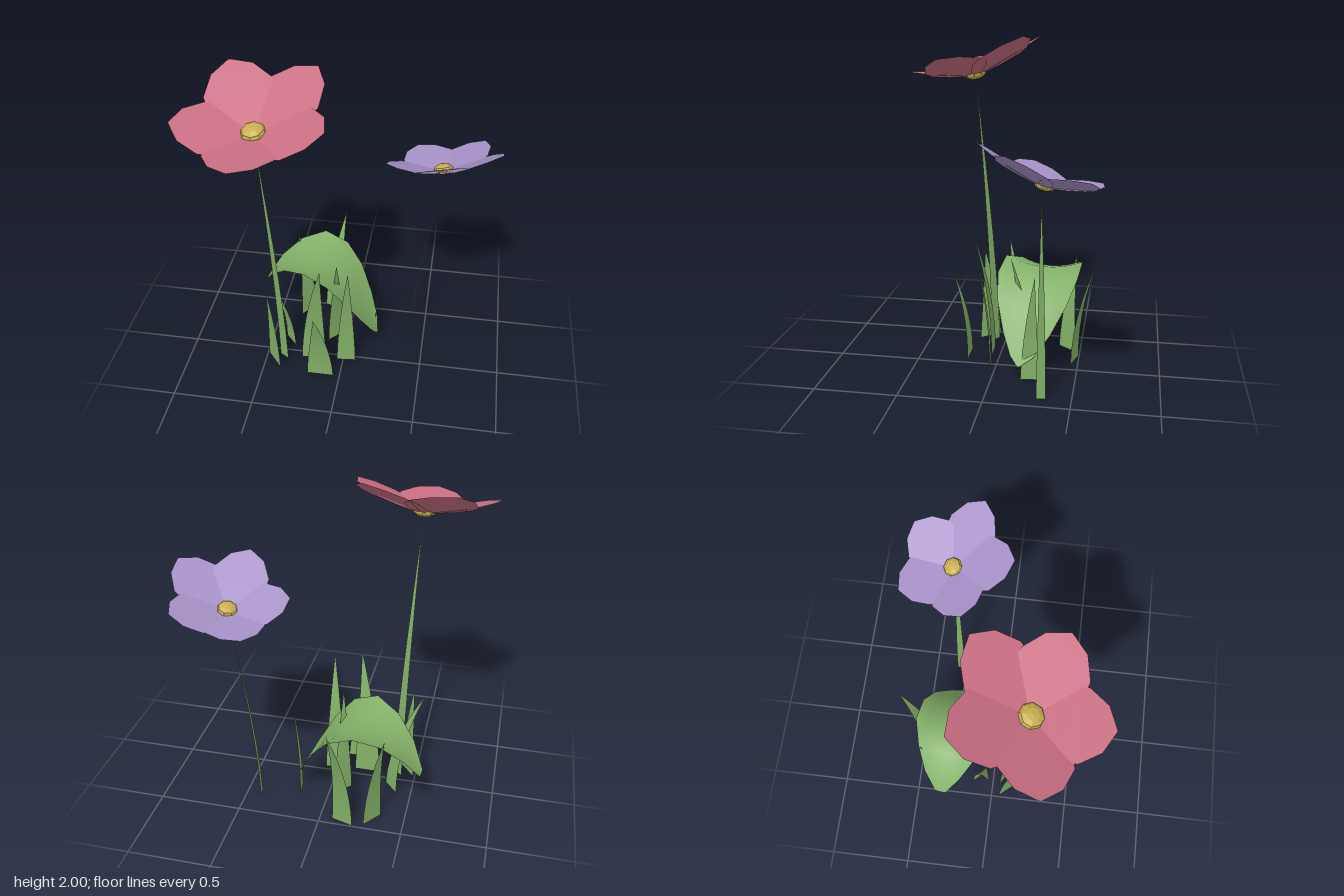
import * as THREE from 'three';

const V = (a) => new THREE.Vector3(a[0], a[1], a[2]);
const mat = (name, color) => {
  const m = new THREE.MeshStandardMaterial({ color, side: THREE.DoubleSide });
  m.name = name;
  return m;
};

// Thin surface through rows: each row has a centre, a half-width vector and an edge lift
function sheet(rows, columns, name, material) {
  const pos = [], index = [];
  rows.forEach(({ centre, side, lift = 0 }, r) => {
    for (let c = 0; c <= columns; c++) {
      const k = (2 * c) / columns - 1;
      const p = centre.clone().addScaledVector(side, k);
      pos.push(p.x, p.y + lift * k * k, p.z);
      if (r && c) {
        const b = r * (columns + 1) + c, a = b - columns - 1;
        index.push(a - 1, b - 1, a, a, b - 1, b);
      }
    }
  });
  const geo = new THREE.BufferGeometry();
  geo.setAttribute('position', new THREE.Float32BufferAttribute(pos, 3));
  geo.setIndex(index);
  geo.computeVertexNormals();
  const mesh = new THREE.Mesh(geo, material);
  mesh.name = name;
  return mesh;
}

// Grass blade or stem: a flat ribbon that bends towards its tip and narrows to a point
function blade(name, base, tip, side, material, bend = 2) {
  const rows = [], b = V(base), t = V(tip), s = V(side), steps = 7;
  for (let i = 0; i <= steps; i++) {
    const k = i / steps, bent = Math.pow(k, bend);
    rows.push({
      centre: new THREE.Vector3(
        b.x + (t.x - b.x) * bent, t.y * k, b.z + (t.z - b.z) * bent),
      side: s.clone().multiplyScalar(1 - Math.pow(k, 1.4)),
    });
  }
  return sheet(rows, 1, name, material);
}

// Petal outline: fraction of length, half width
const PETAL = [[0.04, 0.03], [0.23, 0.13], [0.45, 0.195], [0.62, 0.195], [0.87, 0.12], [1, 0.004]];

function flower(name, centre, up, tips, scale, petalMaterial, goldMaterial) {
  const group = new THREE.Group();
  group.name = name;
  const c = V(centre), n = V(up).normalize();
  tips.forEach((tip) => {
    const along = V(tip).sub(c);
    const side = n.clone().cross(along).normalize();
    const rows = PETAL.map(([d, w]) => ({
      centre: c.clone().addScaledVector(along, d),
      side: side.clone().multiplyScalar(w * scale),
    }));
    group.add(sheet(rows, 1, 'petal', petalMaterial));
  });
  // Flattened faceted centre, tilted with the flower
  const heart = new THREE.Mesh(new THREE.SphereGeometry(0.07 * scale, 8, 6), goldMaterial);
  heart.name = 'flowerCentre';
  heart.scale.y = 0.55;
  heart.quaternion.setFromUnitVectors(new THREE.Vector3(0, 1, 0), n);
  heart.position.copy(c).addScaledVector(n, 0.02 * scale);
  group.add(heart);
  return group;
}

export function createModel() {
  const model = new THREE.Group();
  model.name = 'flowerClump';
  const green = mat('leafGreen', 0x83b068);
  const pink = mat('petalPink', 0xcb6f84);
  const purple = mat('petalPurple', 0xa892c8);
  const gold = mat('centreGold', 0xc8ae50);
  gold.flatShading = true;

  // Flowers
  model.add(flower('pinkFlower', [-0.45, 1.735, 0.2], [-0.08, 1, 0.29], [
    [-0.48, 1.755, 0.63], [-0.04, 1.87, 0.36], [-0.16, 2.0, -0.13],
    [-0.67, 1.98, -0.18], [-0.88, 1.82, 0.29],
  ], 1, pink, gold));
  model.add(flower('purpleFlower', [0.55, 1.275, -0.34], [-0.2, 1, -0.28], [
    [0.52, 1.5, 0.02], [0.88, 1.5, -0.19], [0.78, 1.36, -0.6],
    [0.37, 1.27, -0.64], [0.21, 1.35, -0.25],
  ], 0.83, purple, gold));

  // Stems
  model.add(blade('pinkStem', [-0.385, 0, 0.065], [-0.45, 1.68, 0.2], [0.03, 0, 0.02], green, 1.4));
  model.add(blade('purpleStem', [0.408, 0, -0.325], [0.55, 1.22, -0.33], [0.003, 0, 0.027], green, 1.5));

  // Grass blades: base, tip, half-width vector
  [
    [[-0.14, 0, -0.475], [-0.08, 0.72, -0.625], [0.065, 0, 0.02]],
    [[0.175, 0, -0.23], [0.215, 0.66, -0.26], [0.006, 0, 0.055]],
    [[0.02, 0, 0.035], [0.045, 0.8, 0.14], [0.06, 0, -0.006]],
    [[-0.19, 0, 0.05], [-0.12, 0.82, 0.17], [0.08, 0, 0]],
    [[-0.125, 0, 0.19], [-0.14, 0.55, 0.3], [0.085, 0, 0]],
    [[-0.08, 0, -0.18], [-0.06, 0.68, -0.08], [0.045, 0, -0.05]],
    [[-0.37, 0, -0.09], [-0.55, 0.67, 0.0], [0.04, 0, 0.045]],
    [[-0.44, 0, 0.11], [-0.46, 0.6, 0.15], [0.05, 0, 0.06]],
    [[-0.31, 0, -0.415], [-0.38, 0.62, -0.46], [0.043, 0, -0.055]],
  ].forEach(([base, tip, side]) => model.add(blade('grassBlade', base, tip, side, green)));

  // Broad arching leaf, channelled along its length: x, y, z, half width
  const leafRows = [
    [-0.58, 0.32, -0.32, 0.035], [-0.5, 0.44, -0.31, 0.115], [-0.38, 0.54, -0.29, 0.185],
    [-0.23, 0.58, -0.265, 0.245], [-0.08, 0.515, -0.24, 0.25], [0.03, 0.39, -0.22, 0.215],
    [0.12, 0.24, -0.2, 0.145], [0.18, 0.13, -0.18, 0.07], [0.2, 0.09, -0.165, 0.01],
  ].map(([x, y, z, w]) => ({
    centre: new THREE.Vector3(x, y, z),
    side: new THREE.Vector3(-0.12 * w, 0, 0.99 * w),
    lift: 0.22 * w,
  }));
  model.add(sheet(leafRows, 8, 'broadLeaf', green));

  return model;
}
